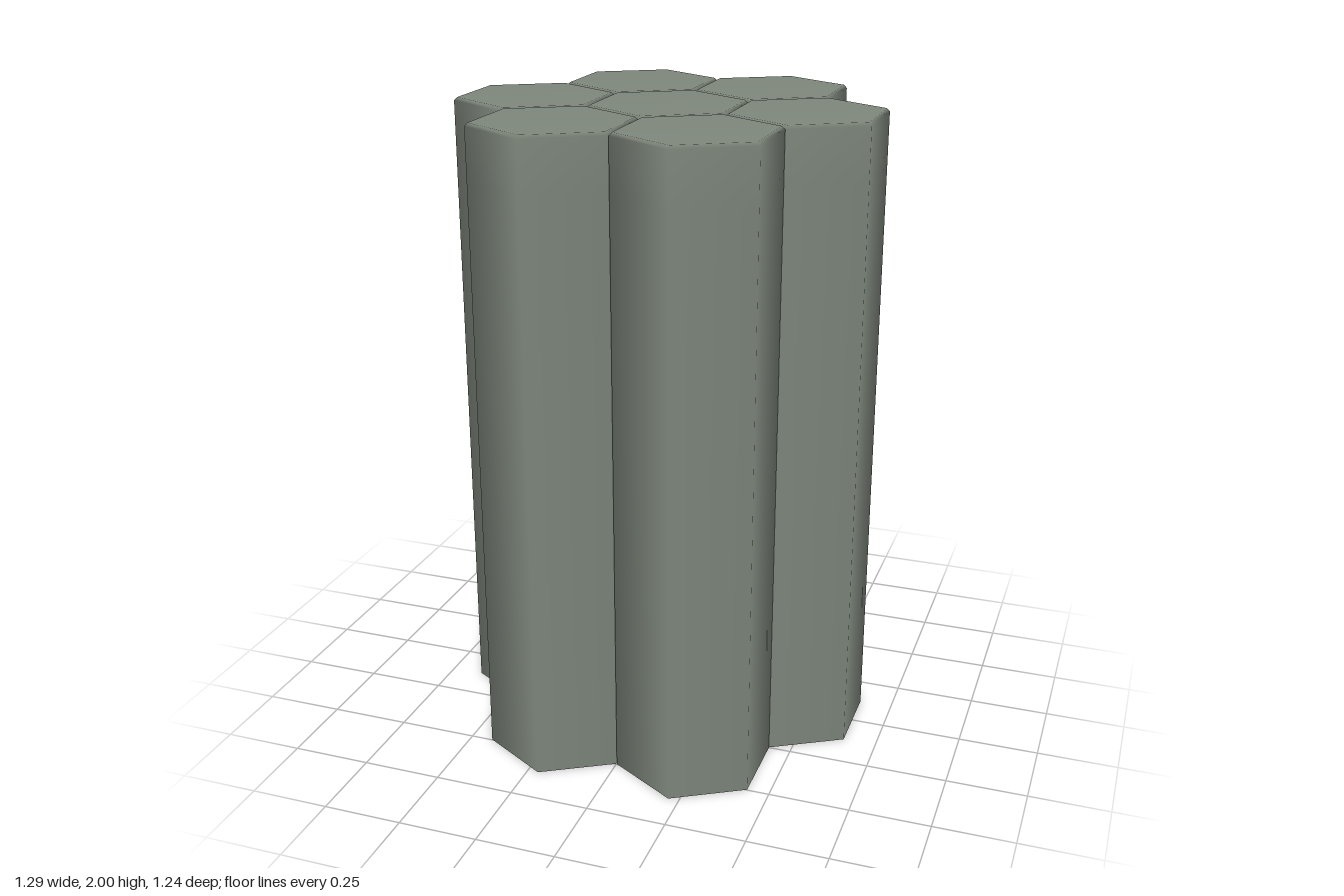
import * as THREE from 'three';

const RADIUS = 0.2475;  // hexagon corner radius
const SPACING = 0.432;  // distance between column axes
const HEIGHT = 2;
const BEVEL = 0.01;

// Six-sided open-bottomed shell with smooth normals and a small top bevel
function columnGeometry(bottom) {
  const profile = [
    [RADIUS, bottom],
    [RADIUS, HEIGHT - 0.17],
    [RADIUS, HEIGHT - BEVEL],
    [RADIUS - BEVEL, HEIGHT],
    [0, HEIGHT],
  ].map(([r, y]) => new THREE.Vector2(r, y));
  return new THREE.LatheGeometry(profile, 6);
}

export function createModel() {
  const model = new THREE.Group();
  model.name = 'hexagonalColumns';
  const stone = new THREE.MeshStandardMaterial({ color: 0x7f887d, side: THREE.DoubleSide });

  // Short middle column, held between the others
  const center = new THREE.Mesh(columnGeometry(1.25), stone);
  center.name = 'centerColumn';
  model.add(center);

  // Ring of six full-height columns
  const tall = columnGeometry(0);
  for (let i = 0; i < 6; i++) {
    const angle = (i * Math.PI) / 3;
    const column = new THREE.Mesh(tall, stone);
    column.name = `outerColumn${i + 1}`;
    column.position.set(SPACING * Math.cos(angle), 0, SPACING * Math.sin(angle));
    model.add(column);
  }
  return model;
}
